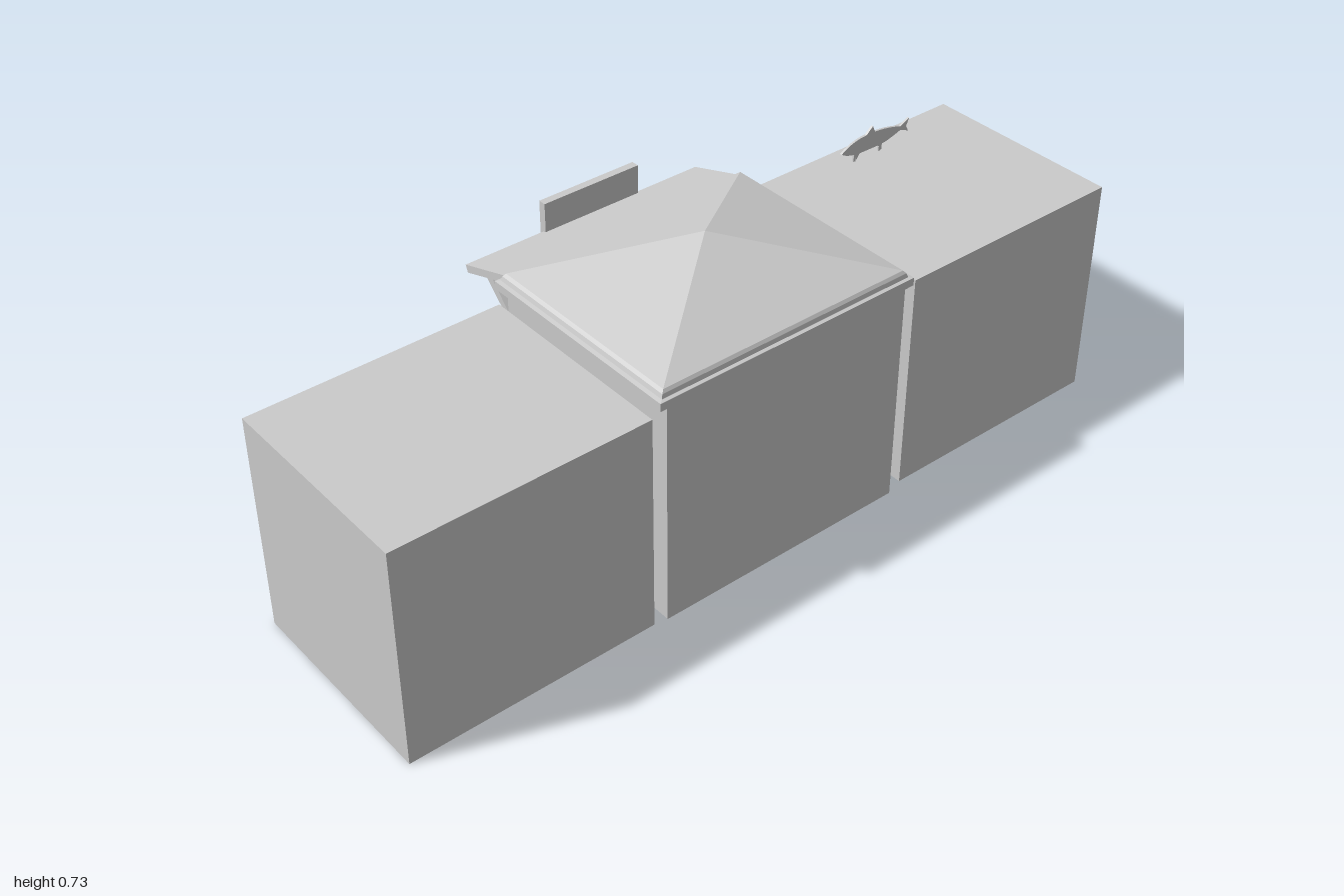
import * as THREE from 'three';

const grey = new THREE.MeshStandardMaterial({ color: 0xcccccc, flatShading: true });
const smooth = new THREE.MeshStandardMaterial({ color: 0xcccccc, side: THREE.DoubleSide });

function add(parent, name, geo, mat = grey) {
  const mesh = new THREE.Mesh(geo, mat);
  mesh.name = name;
  parent.add(mesh);
  return mesh;
}

// Box given by its limits on each axis
function box(parent, name, [x0, x1], [y0, y1], [z0, z1]) {
  const m = add(parent, name, new THREE.BoxGeometry(x1 - x0, y1 - y0, z1 - z0));
  m.position.set((x0 + x1) / 2, (y0 + y1) / 2, (z0 + z1) / 2);
  return m;
}

// Outline in the side plane, extruded along another axis
function shapeOf(points) {
  return new THREE.Shape(points.map(([a, b]) => new THREE.Vector2(a, b)));
}
function extrudeZ(parent, name, points, z0, z1) {
  const geo = new THREE.ExtrudeGeometry(shapeOf(points), { depth: z1 - z0, bevelEnabled: false });
  geo.translate(0, 0, z0);
  return add(parent, name, geo);
}

// Shell of a stall, open towards -x
function shell(parent, [x0, x1], h, [z0, z1], t) {
  box(parent, 'floor', [x0, x1], [0, t], [z0, z1]);
  box(parent, 'ceiling', [x0, x1], [h - t, h], [z0, z1]);
  box(parent, 'backWall', [x1 - t, x1], [t, h - t], [z0, z1]);
  box(parent, 'sideWall', [x0, x1 - t], [t, h - t], [z0, z0 + t]);
  box(parent, 'sideWall', [x0, x1 - t], [t, h - t], [z1 - t, z1]);
}

// Display crate with a row of open compartments
function crate(parent, [x0, x1], h, [z0, z1], cells) {
  const g = new THREE.Group();
  g.name = 'displayCrate';
  parent.add(g);
  const t = 0.008;
  box(g, 'crateBase', [x0 + t, x1 - t], [0.012, h - 0.025], [z0, z1]);
  for (const x of [x0, x1 - t]) box(g, 'crateSide', [x, x + t], [0.012, h], [z0, z1]);
  for (let i = 0; i <= cells; i++) {
    const z = z0 + (z1 - z0 - t) * i / cells;
    box(g, 'crateDivider', [x0 + t, x1 - t], [h - 0.025, h], [z, z + t]);
  }
}

function middleStall() {
  const g = new THREE.Group();
  g.name = 'middleStall';
  shell(g, [-0.182, 0.366], 0.582, [-0.335, 0.335], 0.014);

  // Serving counter
  box(g, 'counterFront', [-0.198, -0.182], [0, 0.277], [-0.335, 0.335]);
  box(g, 'counterTop', [-0.182, -0.12], [0.262, 0.277], [-0.321, 0.321]);

  // Hipped roof with a stepped eave
  const profile = [[0, 0.58], [1, 0.58], [1, 0.6], [0.972, 0.602], [0.962, 0.612], [0.944, 0.619], [0, 0.725]];
  const roof = new THREE.LatheGeometry(
    profile.map(([r, y]) => new THREE.Vector2(r * Math.SQRT2, y)), 4, Math.PI / 4);
  roof.scale(0.285, 1, 0.355);
  add(g, 'roof', roof).position.x = 0.086;

  // Sloping awning, its braces and sign board
  extrudeZ(g, 'awning', [[-0.18, 0.591], [-0.18, 0.61], [-0.35, 0.555], [-0.343, 0.537]].reverse(), -0.338, 0.33);
  for (const z of [-0.33, 0.312])
    extrudeZ(g, 'awningBrace', [[-0.182, 0.48], [-0.182, 0.503], [-0.245, 0.57], [-0.268, 0.564]], z, z + 0.018);
  box(g, 'signBoard', [-0.36, -0.34], [0.535, 0.633], [-0.155, 0.115]);

  // Open trough in front of the counter
  const tx = [-0.372, -0.198], tz = [-0.31, 0.31], t = 0.014, h = 0.212;
  box(g, 'troughWall', [tx[0], tx[0] + t], [0, h], tz);
  box(g, 'troughRim', [tx[1] - t, tx[1]], [h - 0.04, h], tz);
  for (const z of [tz[0], tz[1] - t]) box(g, 'troughEnd', [tx[0] + t, tx[1]], [0, h], [z, z + t]);
  const floor = add(g, 'troughFloor', new THREE.PlaneGeometry(tx[1] - tx[0], tz[1] - tz[0] - t).rotateX(-Math.PI / 2));
  floor.position.set((tx[0] + tx[1]) / 2, h - 0.035, 0);
  return g;
}

function fishStall() {
  const g = new THREE.Group();
  g.name = 'fishStall';
  shell(g, [-0.17, 0.35], 0.57, [-1, -0.383], 0.012);
  box(g, 'fascia', [-0.163, -0.15], [0.455, 0.558], [-0.988, -0.395]);

  // Stepped crates
  crate(g, [-0.165, -0.06], 0.068, [-0.985, -0.58], 4);
  crate(g, [-0.06, 0.05], 0.163, [-0.985, -0.58], 4);

  // Cabinet with rounded top edges
  const cab = new THREE.Shape();
  cab.moveTo(-0.1, 0.012);
  cab.lineTo(0.05, 0.012);
  cab.lineTo(0.05, 0.315);
  cab.quadraticCurveTo(0.05, 0.335, 0.03, 0.335);
  cab.lineTo(-0.08, 0.335);
  cab.quadraticCurveTo(-0.1, 0.335, -0.1, 0.315);
  const cabGeo = new THREE.ExtrudeGeometry(cab, { depth: 0.065, bevelEnabled: false, curveSegments: 5 });
  add(g, 'cabinet', cabGeo.translate(0, 0, -0.468));

  // Fish cut-out on the roof: (distance from nose, height)
  const fish = new THREE.Shape();
  fish.moveTo(0, 0.606);
  fish.quadraticCurveTo(0.035, 0.63, 0.08, 0.63);
  fish.lineTo(0.1, 0.648);
  fish.lineTo(0.108, 0.63);
  fish.quadraticCurveTo(0.15, 0.628, 0.195, 0.613);
  fish.lineTo(0.223, 0.627);
  fish.lineTo(0.214, 0.607);
  fish.lineTo(0.222, 0.592);
  fish.lineTo(0.195, 0.603);
  fish.quadraticCurveTo(0.15, 0.588, 0.134, 0.588);
  fish.lineTo(0.133, 0.572);
  fish.lineTo(0.122, 0.587);
  fish.lineTo(0.06, 0.588);
  fish.lineTo(0.05, 0.574);
  fish.lineTo(0.043, 0.59);
  fish.quadraticCurveTo(0.015, 0.595, 0, 0.606);
  const fishGeo = new THREE.ExtrudeGeometry(fish, { depth: 0.006, bevelEnabled: false, curveSegments: 5 });
  fishGeo.rotateY(Math.PI / 2).translate(-0.111, 0, -0.587);
  add(g, 'fishSign', fishGeo);
  for (const z of [-0.632, -0.715]) box(g, 'fishStand', [-0.11, -0.106], [0.57, 0.592], [z - 0.003, z + 0.003]);
  return g;
}

function bucketStall() {
  const g = new THREE.Group();
  g.name = 'bucketStall';
  shell(g, [-0.167, 0.361], 0.561, [0.368, 1], 0.012);
  box(g, 'fascia', [-0.16, -0.147], [0.45, 0.549], [0.38, 0.988]);

  // Table with a solid body, and a tall cupboard beside it
  box(g, 'tableTop', [-0.16, 0.015], [0.148, 0.165], [0.515, 0.985]);
  box(g, 'tableBody', [-0.15, 0.005], [0.012, 0.148], [0.53, 0.975]);
  box(g, 'cupboard', [-0.11, 0.06], [0.012, 0.42], [0.385, 0.5]);

  // Bucket with rim, contents and side rings
  const bucket = new THREE.Group();
  bucket.name = 'bucket';
  bucket.position.set(-0.092, 0.165, 0.9);
  const pts = [[0, 0], [0.033, 0], [0.043, 0.062], [0.05, 0.064], [0.05, 0.072], [0.041, 0.072], [0.038, 0.05], [0, 0.05]];
  add(bucket, 'bucketBody', new THREE.LatheGeometry(pts.map(([r, y]) => new THREE.Vector2(r, y)), 20),
    new THREE.MeshStandardMaterial({ color: 0xcccccc, flatShading: true, side: THREE.DoubleSide }));
  for (const s of [-1, 1]) {
    const ring = add(bucket, 'bucketRing', new THREE.TorusGeometry(0.01, 0.002, 6, 14), smooth);
    ring.position.set(0, 0.054, s * 0.044);
    ring.rotation.y = Math.PI / 2;
  }
  g.add(bucket);
  return g;
}

export function createModel() {
  const model = new THREE.Group();
  model.name = 'marketStalls';
  model.add(middleStall(), fishStall(), bucketStall());
  return model;
}
